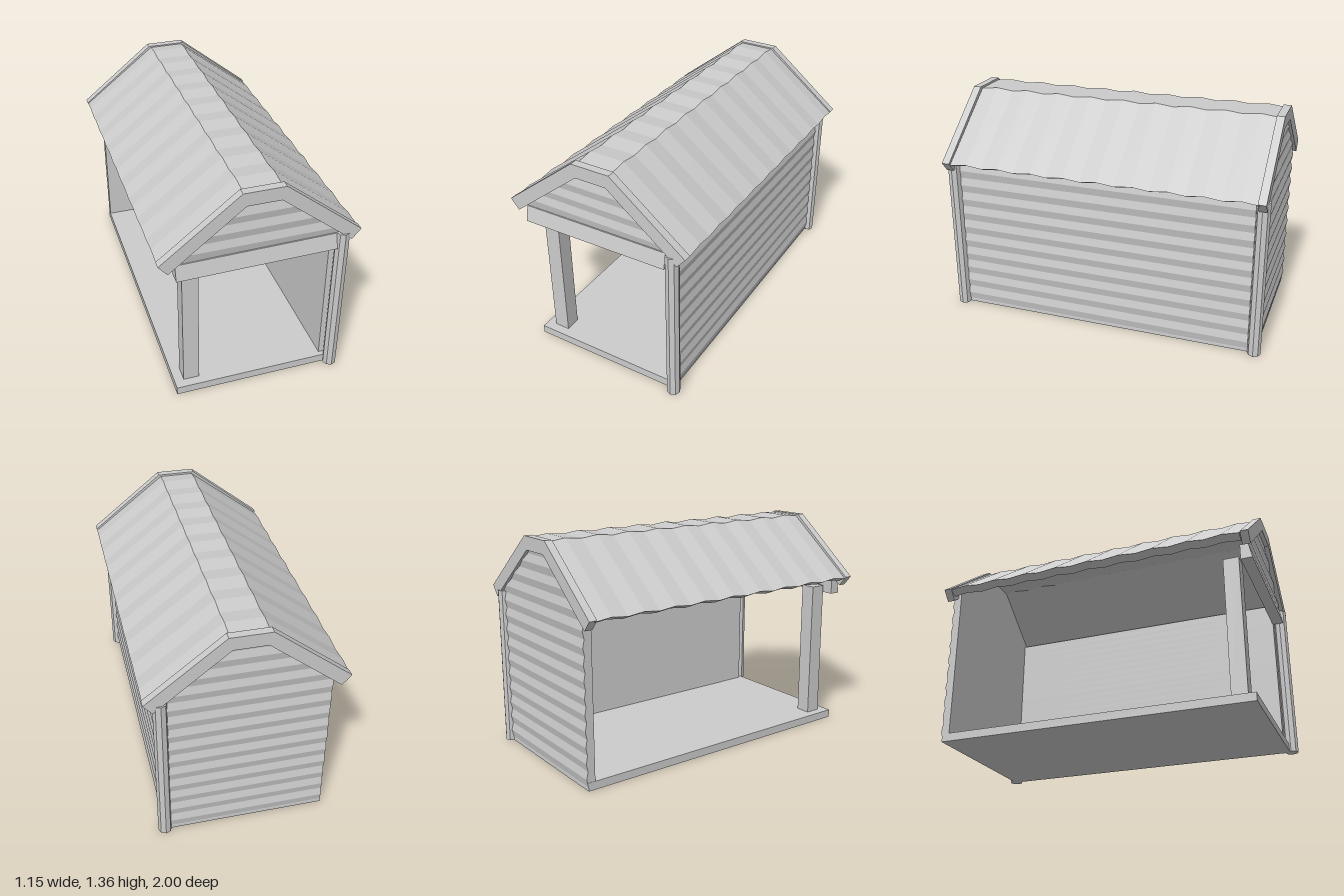
import * as THREE from 'three';

const material = new THREE.MeshStandardMaterial({ color: 0xcccccc, flatShading: true, side: THREE.DoubleSide });
const HALF_RIB = 0.0472; // half the spacing of the wall ribs
const RIB_FOOT = 0.024;  // height of the first rib trough

// Ribbed panel: ribs face +z, flat back at z = -thick, limits(y) gives [left, right].
function ribbedPanel(bottom, top, thick, limits, extraRows = []) {
  const wave = (y) => {
    const p = Math.abs(((y - RIB_FOOT) / HALF_RIB) % 2);
    return 0.01 * (1 - Math.abs(1 - p));
  };
  const rows = [bottom, top, ...extraRows];
  for (let y = RIB_FOOT; y < top; y += HALF_RIB) if (y > bottom + 0.001) rows.push(y);
  rows.sort((a, b) => a - b);
  // four corners per row
  const rings = rows.map((y) => {
    const [l, r] = limits(y);
    const f = wave(y);
    return [[l, y, f], [r, y, f], [r, y, -thick], [l, y, -thick]];
  });
  const pos = [];
  const quad = (a, b, c, d) => [a, b, c, a, c, d].forEach((p) => pos.push(...p));
  for (let i = 0; i + 1 < rings.length; i++) {
    for (let k = 0; k < 4; k++) {
      const n = (k + 1) % 4;
      quad(rings[i][k], rings[i][n], rings[i + 1][n], rings[i + 1][k]);
    }
  }
  const first = rings[0], last = rings[rings.length - 1];
  quad(first[3], first[2], first[1], first[0]);
  quad(last[0], last[1], last[2], last[3]);
  const geo = new THREE.BufferGeometry();
  geo.setAttribute('position', new THREE.Float32BufferAttribute(pos, 3));
  geo.computeVertexNormals();
  return geo;
}

// Extrude an outline along z, starting at z0.
function extrude(points, z0, depth, steps = 1) {
  const shape = new THREE.Shape(points.map(([x, y]) => new THREE.Vector2(x, y)));
  const geo = new THREE.ExtrudeGeometry(shape, { depth, steps, bevelEnabled: false });
  return geo.translate(0, 0, z0);
}

// Close a half outline (x > 0, outer edge then inner edge) into an arch.
function arch(outer, inner) {
  const flip = (list) => list.map(([x, y]) => [-x, y]).reverse();
  return [...outer, ...inner, ...flip(inner), ...flip(outer)];
}

export function createModel() {
  const group = new THREE.Group();
  const add = (name, geo, x = 0, y = 0, z = 0) => {
    const mesh = new THREE.Mesh(geo, material);
    mesh.name = name;
    mesh.position.set(x, y, z);
    group.add(mesh);
    return mesh;
  };

  // Floor slab
  add('floor', new THREE.BoxGeometry(0.955, 0.05, 1.915), -0.0025, 0.025, -0.0075);

  // Closed side wall, ribs outward
  add('sideWall', ribbedPanel(0.02, 1.01, 0.054, () => [-0.92, 0.92]), 0.479).rotation.y = Math.PI / 2;

  // Gable outline follows the underside of the roof
  const gable = (y) => {
    const w = Math.min(0.478, 0.11 + (1.32 - y) * 1.26);
    return [-w, w];
  };
  add('backWall', ribbedPanel(0.02, 1.32, 0.045, gable, [1.028]), 0, 0, -0.965).rotation.y = Math.PI;
  add('frontGable', ribbedPanel(0.93, 1.32, 0.012, gable, [1.028]), 0, 0, 0.957);

  // Front beam: face leans back a little, whole beam slightly out of level
  const beamGeo = new THREE.BoxGeometry(0.92, 0.094, 0.07);
  const p = beamGeo.attributes.position;
  for (let i = 0; i < p.count; i++) {
    if (p.getY(i) > 0 && p.getZ(i) > 0) p.setZ(i, p.getZ(i) - 0.02);
  }
  beamGeo.computeVertexNormals();
  add('frontBeam', beamGeo, -0.018, 0.922, 0.95).rotation.z = 0.012;

  // Square post at the open corner
  add('openCornerPost', new THREE.BoxGeometry(0.095, 0.87, 0.095), -0.377, 0.485, 0.847);

  // Eight-sided corner posts on the closed side
  for (const s of [1, -1]) {
    add(s > 0 ? 'frontCornerPost' : 'backCornerPost',
      new THREE.CylinderGeometry(0.04, 0.04, 0.975, 8), 0.48, 0.4875, s * 0.96);
  }

  // Corrugated roof: zigzag up and down along its length
  const roofGeo = extrude(arch([[0.108, 1.351], [0.572, 0.991]], [[0.52, 0.968], [0.098, 1.295]]), -0.955, 1.89, 18);
  const r = roofGeo.attributes.position;
  for (let i = 0; i < r.count; i++) {
    const step = Math.round((r.getZ(i) + 0.955) / 0.105);
    r.setY(i, r.getY(i) + (step % 2 ? 0.006 : -0.006));
  }
  roofGeo.computeVertexNormals();
  add('roof', roofGeo);

  // Barge boards at both ends
  const board = arch([[0.12, 1.355], [0.575, 0.993]], [[0.523, 0.932], [0.097, 1.275]]);
  add('frontBargeBoard', extrude(board, 0.94, 0.048));
  add('backBargeBoard', extrude(board, -0.988, 0.048));

  return group;
}
